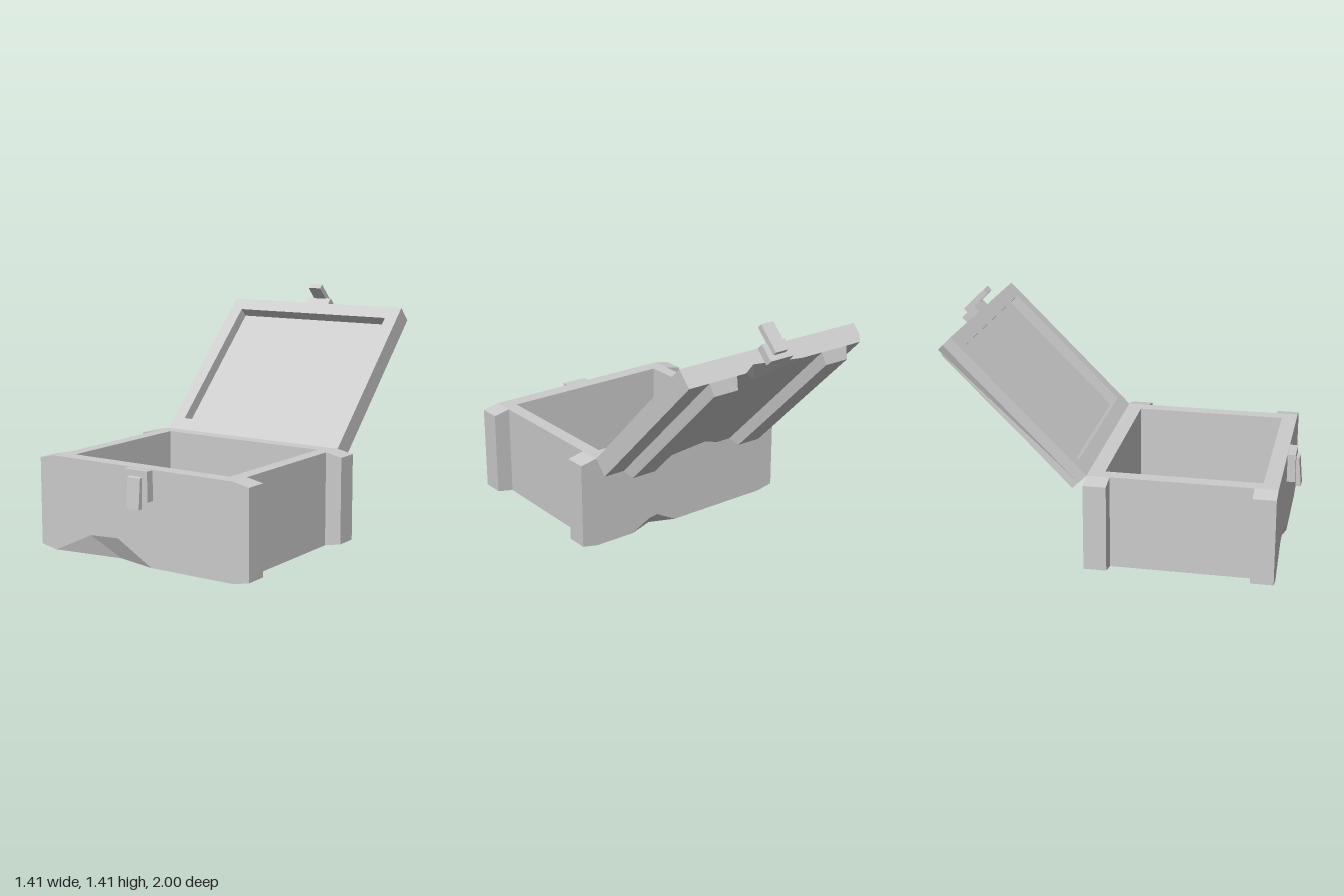
import * as THREE from 'three';

const material = new THREE.MeshStandardMaterial({ color: 0xcccccc, flatShading: true, side: THREE.DoubleSide });

function add(parent, name, geometry, x = 0, y = 0, z = 0) {
  const mesh = new THREE.Mesh(geometry, material);
  mesh.name = name;
  mesh.position.set(x, y, z);
  parent.add(mesh);
  return mesh;
}

// Box given by its minimum and maximum on each axis
function addBox(parent, name, [x0, x1], [y0, y1], [z0, z1]) {
  return add(parent, name, new THREE.BoxGeometry(x1 - x0, y1 - y0, z1 - z0),
    (x0 + x1) / 2, (y0 + y1) / 2, (z0 + z1) / 2);
}

// Solid from flat polygons, each listed counter-clockwise from outside
function solid(faces) {
  const positions = [];
  for (const face of faces) {
    const pts = face.map((p) => new THREE.Vector3(...p));
    const normal = new THREE.Vector3();
    pts.forEach((p, i) => normal.add(p.clone().cross(pts[(i + 1) % pts.length])));
    normal.normalize();
    const u = pts[1].clone().sub(pts[0]).normalize();
    const v = normal.clone().cross(u);
    const flat = pts.map((p) => new THREE.Vector2(p.dot(u), p.dot(v)));
    for (const tri of THREE.ShapeUtils.triangulateShape(flat, [])) {
      for (const i of tri) positions.push(...pts[i].toArray());
    }
  }
  const geometry = new THREE.BufferGeometry();
  geometry.setAttribute('position', new THREE.Float32BufferAttribute(positions, 3));
  geometry.computeVertexNormals();
  return geometry;
}

// Prism from an outline of [a, b] points, extruded along +z
function prism(points, depth, hole) {
  const shape = new THREE.Shape(points.map((p) => new THREE.Vector2(...p)));
  if (hole) shape.holes.push(new THREE.Path(hole.map((p) => new THREE.Vector2(...p))));
  return new THREE.ExtrudeGeometry(shape, { depth, bevelEnabled: false });
}

const rect = (x0, x1, y0, y1) => [[x0, y0], [x1, y0], [x1, y1], [x0, y1]];

// End board with chamfered ears and a chipped lower edge
function makeBoard(name, chip, chipRoot) {
  const group = new THREE.Group();
  group.name = name;
  const outer = 0.53, inner = 0.44;
  const rim = [[0.605, 0], [0.705, 0.02], [0.705, 0.52], [0.605, 0.54],
    [-0.605, 0.54], [-0.705, 0.52], [-0.705, 0.02], [-0.605, 0]];
  const at = (z) => ([x, y]) => [x, y, z];
  const front = rim.map(at(outer)), back = rim.map(at(inner));
  const [a, b, c, d] = chip.map(at(outer));
  const e = chipRoot;
  const faces = [
    [...front, a, b, c, d],
    [...back].reverse(),
    [back[7], back[0], front[0], d, e, a, front[7]],
    [a, e, b], [b, e, c], [c, e, d],
  ];
  for (let i = 0; i < 7; i++) faces.push([front[i], back[i], back[i + 1], front[i + 1]]);
  add(group, name + 'Plank', solid(faces));
  for (const s of [1, -1]) {
    const ear = [[0.605, 0], [0.705, 0.02], [0.705, 0.52], [0.605, 0.54]].map(([x, y]) => [s * x, y]);
    add(group, name + 'Ear', prism(ear, 0.04), 0, 0, 0.4);
  }
  return group;
}

// Lid panel with chips in both outer edges
function makeLidPanel() {
  const X = 0.605, lo = 0.065, hi = 0.115, L = 1.06;
  const f1 = [-0.155, hi, L], f2 = [0.235, hi, L], fDip = [0.165, 0.078, L], fIn = [0.1, hi, 0.93];
  const h1 = [0.2, hi, 0], h2 = [-0.2, hi, 0], hDip = [-0.1, 0.08, 0], hIn = [-0.1, hi, 0.1];
  const corner = [-0.58, hi, L];
  return solid([
    [[-X, hi, 0], corner, f1, fIn, f2, [X, hi, L], [X, hi, 0], h1, hIn, h2],
    [[-X, lo, L], [X, lo, L], [X, hi, L], f2, fDip, f1, corner],
    [[X, lo, 0], [-X, lo, 0], [-X, hi, 0], h2, hDip, h1, [X, hi, 0]],
    [[-X, lo, 0], [X, lo, 0], [X, lo, L], [-X, lo, L]],
    [[-X, lo, 0], [-X, lo, L], corner, [-X, hi, 0]],
    [[X, hi, 0], [X, hi, L], [X, lo, L], [X, lo, 0]],
    [f1, fDip, fIn], [fDip, f2, fIn],
    [h1, hDip, hIn], [hDip, h2, hIn],
  ]);
}

// Batten whose outer face is smaller than its base
function makeBatten() {
  const geometry = new THREE.BoxGeometry(0.18, 0.065, 1.06);
  const p = geometry.attributes.position;
  for (let i = 0; i < p.count; i++) {
    if (p.getY(i) > 0) {
      p.setX(i, p.getX(i) * 0.86);
      p.setZ(i, p.getZ(i) * 0.94);
    }
  }
  geometry.computeVertexNormals();
  return geometry;
}

export function createModel() {
  const model = new THREE.Group();
  model.name = 'openChest';

  // Base: front and back boards, side walls and floor
  const base = new THREE.Group();
  base.name = 'base';
  base.position.z = 0.39;
  model.add(base);
  base.add(makeBoard('frontBoard',
    [[-0.6, 0], [-0.345, 0.12], [-0.155, 0.13], [0.075, 0]], [-0.18, 0, 0.47]));
  const backBoard = makeBoard('backBoard',
    [[-0.36, 0], [-0.24, 0.06], [-0.18, 0.07], [-0.05, 0]], [-0.2, 0, 0.47]);
  backBoard.rotation.y = Math.PI;
  base.add(backBoard);
  addBox(base, 'leftWall', [0.525, 0.605], [0, 0.54], [-0.44, 0.44]);
  addBox(base, 'rightWall', [-0.605, -0.525], [0, 0.54], [-0.44, 0.44]);
  addBox(base, 'floor', [-0.525, 0.525], [0, 0.06], [-0.44, 0.44]);

  // Lower latch
  addBox(model, 'latchPlate', [-0.07, 0.09], [0.37, 0.538], [0.92, 0.967]);
  const hook = add(model, 'latchHook',
    prism([[0.96, 0.505], [0.985, 0.5], [1, 0.33], [0.97, 0.33]], 0.085), 0.055, 0, 0);
  hook.rotation.y = -Math.PI / 2;
  hook.position.x = 0.055;

  // Lid, built closed from its hinge line, then swung open
  const lid = new THREE.Group();
  lid.name = 'lid';
  lid.position.set(0, 0.54, -0.14);
  lid.rotation.x = -Math.PI * 0.75;
  model.add(lid);
  const frame = prism(rect(-0.605, 0.605, 0, 1.06), 0.065, rect(-0.525, 0.525, 0.085, 0.975));
  frame.rotateX(Math.PI / 2);
  add(lid, 'lidFrame', frame, 0, 0.065, 0).geometry.scale(1, 1, 1);
  add(lid, 'lidPanel', makeLidPanel());
  for (const s of [1, -1]) add(lid, 'lidBatten', makeBatten(), s * 0.385, 0.1475, 0.53);

  // Upper latch
  addBox(lid, 'haspPlate', [-0.07, 0.09], [0, 0.105], [1.06, 1.105]);
  addBox(lid, 'hasp', [-0.03, 0.055], [-0.098, 0.075], [1.1, 1.133]);

  return model;
}
